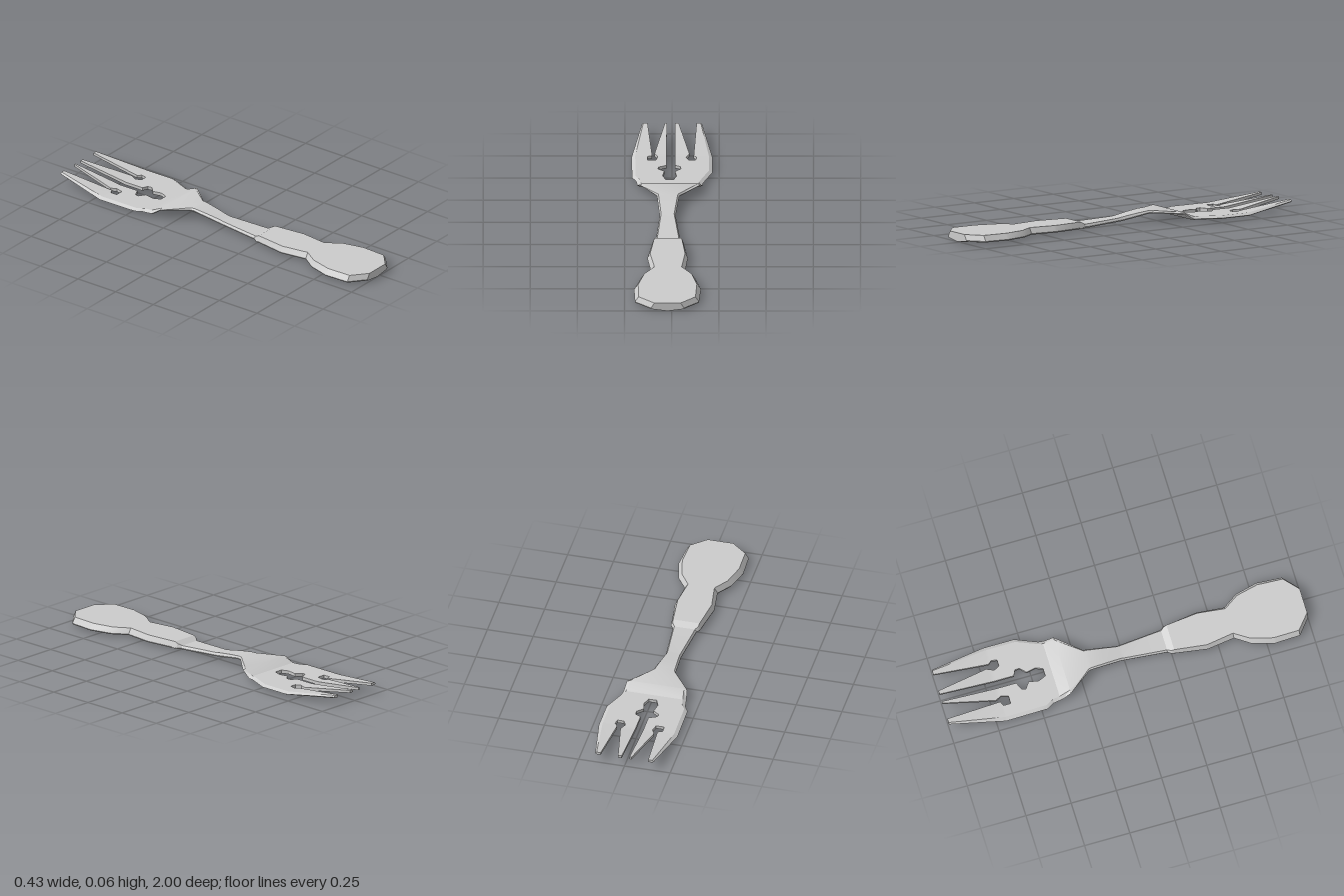
import * as THREE from 'three';
import { toCreasedNormals } from 'three/addons/utils/BufferGeometryUtils.js';

// Profiles along the length: pairs of [z, value]
const top = [[-1, .065], [-.7, .029], [-.39, .03], [-.33, .057], [-.18, .065], [-.1, .055], [0, .039], [.23, .03], [.265, .048], [1, .048]];
const bottom = [[-1, .051], [-.7, .012], [-.38, .012], [-.33, .045], [-.18, .05], [-.1, .036], [-.02, .022], [.2, .012], [1, .012]];
const belly = [[-.2, 0], [0, .006], [.2, .009], [.6, .012], [1, .012]];
const bevel = [[-1, .008], [-.7, .02], [-.33, .018], [-.2, .008], [.2, .008], [.45, .015], [.8, .022], [1, .018]];

// Outer outline
const outerL = [[-1, -.16], [-.7, -.215], [-.47, -.212], [-.43, -.19], [-.33, -.175], [-.2, -.08], [-.02, -.065], [.23, -.085],
  [.25, -.1], [.44, -.13], [.59, -.11], [.67, -.165], [.79, -.2], [.93, -.195], [1, -.11]];
const outerR = [[-1, .16], [-.7, .215], [-.53, .215], [-.41, .165], [-.33, .155], [-.2, .04], [-.02, .02], [.23, .045],
  [.25, .06], [.44, .085], [.59, .07], [.67, .125], [.79, .155], [.93, .145], [1, .065]];

// Edges of the gaps between the tines and of the central cut-out
const gapLOuter = [[-1, -.13], [-.7, -.105], [-.69, -.13], [-.65, -.13]];
const gapLInner = [[-1, -.038], [-.72, -.092], [-.69, -.075], [-.65, -.085]];
const gapRInner = [[-1, .035], [-.72, .092], [-.68, .075], [-.65, .09]];
const gapROuter = [[-1, .13], [-.7, .115], [-.68, .132], [-.65, .125]];
const holeL = [[-1, -.028], [-.59, -.028], [-.57, -.07], [-.55, -.075], [-.525, -.04], [-.47, -.05], [-.43, -.033]];
const holeR = [[-1, .015], [-.59, .015], [-.575, .045], [-.55, .047], [-.52, .015], [-.47, .025], [-.43, .01]];

// Linear interpolation in a profile
function at(profile, z) {
  if (z <= profile[0][0]) return profile[0][1];
  for (let i = 1; i < profile.length; i++) {
    const [z0, v0] = profile[i - 1], [z1, v1] = profile[i];
    if (z <= z1) return v0 + (v1 - v0) * (z - z0) / (z1 - z0);
  }
  return profile[profile.length - 1][1];
}

// Seven-point cross-section; only the outer edges are bevelled
function section(z, left, right) {
  const xl = at(left, z), xr = at(right, z), t = at(top, z), b = at(bottom, z);
  const w = at(bevel, z);
  const il = left === outerL ? w : 0, ir = right === outerR ? w : 0;
  const edge = b + .006, under = z < -.3 ? .8 : .15;
  return [[xl, edge], [xl + il, t], [xr - ir, t], [xr, edge],
    [xr - ir * under, b], [(xl + xr) / 2, b - at(belly, z)], [xl + il * under, b]].map(([x, y]) => [x, y, z]);
}

// Solid strip between two edges, with rows at every bend
function strip(name, left, right, z0, z1, material) {
  const all = [left, right, top, bottom, bevel].flat().map(p => p[0]).filter(z => z > z0 && z < z1);
  const zs = [...new Set([z0, ...all, z1])].sort((a, b) => a - b);
  const rows = zs.map(z => section(z, left, right));
  const pos = [];
  const tri = (a, b, c) => pos.push(...a, ...b, ...c);
  for (let i = 0; i < rows.length - 1; i++) {
    for (let j = 0; j < 7; j++) {
      const k = (j + 1) % 7;
      tri(rows[i][j], rows[i + 1][j], rows[i + 1][k]);
      tri(rows[i][j], rows[i + 1][k], rows[i][k]);
    }
  }
  const first = rows[0], last = rows[rows.length - 1];
  for (let k = 1; k < 6; k++) {
    tri(first[0], first[k], first[k + 1]);
    tri(last[0], last[k + 1], last[k]);
  }
  const geometry = new THREE.BufferGeometry();
  geometry.setAttribute('position', new THREE.Float32BufferAttribute(pos, 3));
  const mesh = new THREE.Mesh(toCreasedNormals(geometry, .4), material);
  mesh.name = name;
  return mesh;
}

export function createModel() {
  const fork = new THREE.Group();
  fork.name = 'fork';
  const metal = new THREE.MeshStandardMaterial({ color: 0xcccccc });
  const parts = [
    // Four tines
    ['rightOuterTine', outerL, gapLOuter, -1, -.65],
    ['rightInnerTine', gapLInner, holeL, -1, -.65],
    ['leftInnerTine', holeR, gapRInner, -1, -.65],
    ['leftOuterTine', gapROuter, outerR, -1, -.65],
    // Palm on both sides of the cut-out
    ['rightPalm', outerL, holeL, -.65, -.43],
    ['leftPalm', holeR, outerR, -.65, -.43],
    // Shoulder, neck and handle
    ['shoulderAndNeck', outerL, outerR, -.43, .23],
    ['handle', outerL, outerR, .23, 1],
  ];
  for (const p of parts) fork.add(strip(...p, metal));
  return fork;
}
